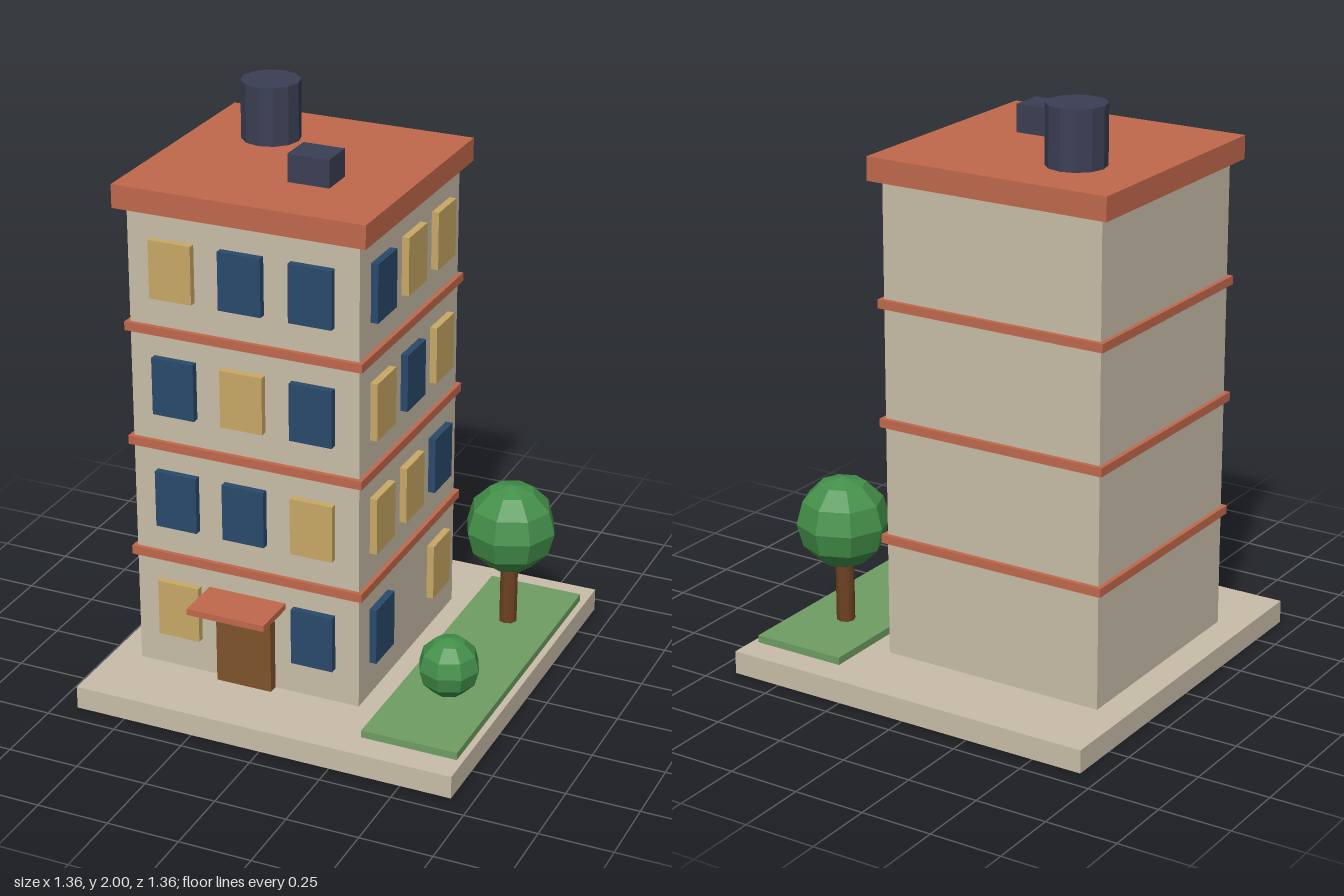
import * as THREE from 'three';

const mat = (name, color) => {
  const m = new THREE.MeshStandardMaterial({ color });
  m.name = name;
  return m;
};

export function createModel() {
  const stone = mat('stone', 0xc8bda8);
  const terracotta = mat('terracotta', 0xc1694c);
  const darkGlass = mat('dark glass', 0x2a4a6b);
  const litGlass = mat('lit glass', 0xc9a866);
  const doorWood = mat('door wood', 0x80532b);
  const slate = mat('slate', 0x3a3f54);
  const lawn = mat('lawn', 0x6f9d62);
  const leaf = mat('leaf', 0x44904a);
  const bark = mat('bark', 0x6e4224);
  leaf.flatShading = slate.flatShading = true;

  const model = new THREE.Group();
  model.name = 'apartmentBlock';

  const add = (name, geometry, material, x, y, z, parent = model) => {
    const mesh = new THREE.Mesh(geometry, material);
    mesh.name = name;
    mesh.position.set(x, y, z);
    parent.add(mesh);
    return mesh;
  };
  // Box whose position gives its underside
  const box = (name, w, h, d, material, x, y, z, parent) =>
    add(name, new THREE.BoxGeometry(w, h, d), material, x, y + h / 2, z, parent);

  // Plot and building shell
  const cx = -0.17, half = 0.405;
  box('base', 1.355, 0.08, 1.355, stone, 0, 0, 0);
  box('walls', 2 * half, 1.64, 2 * half, stone, cx, 0.08, 0);
  box('roof', 0.88, 0.08, 0.88, terracotta, cx, 1.72, 0);
  for (const y of [0.495, 0.903, 1.31]) {
    box('floorBand', 0.84, 0.03, 0.84, terracotta, cx, y - 0.015, 0);
  }

  // Windows, ground floor first: L lit, D dark, - none
  const frontRows = ['L-D', 'DDL', 'DLD', 'LDD'];
  const sideRows = ['D-L', 'LLD', 'LDL', 'DLL'];
  const windows = new THREE.Group();
  windows.name = 'windows';
  model.add(windows);
  for (let floor = 0; floor < 4; floor++) {
    const y = 0.203 + floor * 0.408;
    for (let i = 0; i < 3; i++) {
      const offset = (i - 1) * 0.245;
      const f = frontRows[floor][i], s = sideRows[floor][i];
      if (f !== '-') {
        box('frontWindow', 0.15, 0.2, 0.05, f === 'L' ? litGlass : darkGlass, cx + offset, y, half, windows);
      }
      if (s !== '-') {
        box('sideWindow', 0.05, 0.2, 0.15, s === 'L' ? litGlass : darkGlass, cx + half, y, -offset, windows);
      }
    }
  }

  // Entrance
  box('door', 0.2, 0.29, 0.06, doorWood, cx, 0.08, half + 0.005);
  box('canopy', 0.28, 0.022, 0.17, terracotta, cx, 0.386, 0.487);

  // Rooftop equipment
  add('waterTank', new THREE.CylinderGeometry(0.1, 0.1, 0.2, 12), slate, -0.342, 1.9, -0.173);
  box('roofVent', 0.145, 0.095, 0.12, slate, -0.037, 1.8, 0.133);

  // Garden
  box('lawn', 0.335, 0.026, 1.155, lawn, 0.488, 0.08, 0);
  add('treeTrunk', new THREE.CylinderGeometry(0.032, 0.032, 0.28, 8), bark, 0.487, 0.24, -0.305);
  add('treeCrown', new THREE.SphereGeometry(0.16, 8, 6), leaf, 0.487, 0.468, -0.308);
  add('bush', new THREE.SphereGeometry(0.106, 8, 6), leaf, 0.487, 0.208, 0.238);

  return model;
}
